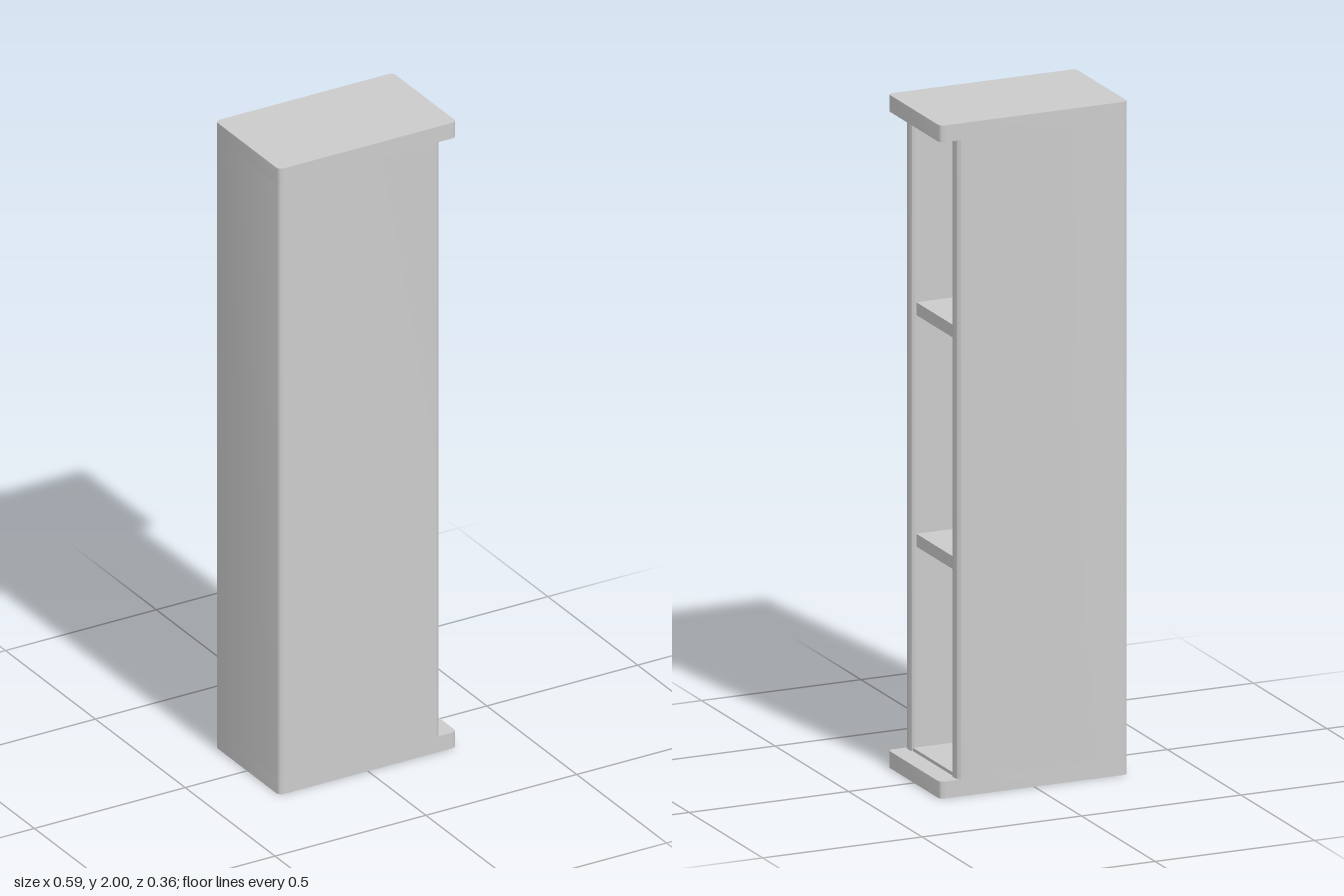
import * as THREE from 'three';
import { toCreasedNormals } from 'three/addons/utils/BufferGeometryUtils.js';

const material = new THREE.MeshStandardMaterial({ color: 0xcccccc });
const LEFT = 0.295, BACK = -0.295, HALF_Z = 0.178;
const OPEN_X = 0.24, WALL = 0.043, PLATE = 0.05, HEIGHT = 2;

// Closed outline with every corner [x, z, radius] rounded
function roundedOutline(corners) {
  const shape = new THREE.Shape();
  const n = corners.length;
  corners.forEach(([x, y, r], i) => {
    const p = new THREE.Vector2(x, y);
    const toward = ([cx, cy]) => new THREE.Vector2(cx, cy).sub(p).setLength(r).add(p);
    const a = toward(corners[(i + n - 1) % n]);
    const b = toward(corners[(i + 1) % n]);
    if (i === 0) shape.moveTo(a.x, a.y);
    else shape.lineTo(a.x, a.y);
    // cubic approximation of a quarter circle
    const c1 = a.clone().lerp(p, 0.552), c2 = b.clone().lerp(p, 0.552);
    shape.bezierCurveTo(c1.x, c1.y, c2.x, c2.y, b.x, b.y);
  });
  shape.closePath();
  return shape;
}

// Plan outline raised from y0 to y1
function slab(name, corners, y0, y1) {
  const geometry = new THREE.ExtrudeGeometry(roundedOutline(corners), {
    depth: y1 - y0, bevelEnabled: false, curveSegments: 8,
  });
  geometry.rotateX(-Math.PI / 2);
  geometry.translate(0, y0, 0);
  const mesh = new THREE.Mesh(toCreasedNormals(geometry, Math.PI / 5), material);
  mesh.name = name;
  return mesh;
}

function board(name, x0, x1, y0, y1, halfZ) {
  const mesh = new THREE.Mesh(new THREE.BoxGeometry(x1 - x0, y1 - y0, halfZ * 2), material);
  mesh.position.set((x0 + x1) / 2, (y0 + y1) / 2, 0);
  mesh.name = name;
  return mesh;
}

export function createModel() {
  const group = new THREE.Group();
  group.name = 'openSidedCabinet';

  // Base and top plates, overhanging the open side
  const plate = [
    [BACK, -HALF_Z, 0.016], [LEFT, -HALF_Z, 0.016],
    [LEFT, HALF_Z, 0.016], [BACK, HALF_Z, 0.016],
  ];
  group.add(slab('basePlate', plate, 0, PLATE));
  group.add(slab('topPlate', plate, HEIGHT - PLATE, HEIGHT));

  // U-shaped walls, open towards +x, with rounded free edges
  const inner = HALF_Z - WALL;
  group.add(slab('walls', [
    [BACK, -HALF_Z, 0.016], [OPEN_X, -HALF_Z, 0.016],
    [OPEN_X, -inner, 0.012], [BACK + WALL, -inner, 0.003],
    [BACK + WALL, inner, 0.003], [OPEN_X, inner, 0.012],
    [OPEN_X, HALF_Z, 0.016], [BACK, HALF_Z, 0.016],
  ], PLATE, HEIGHT - PLATE));

  // Thin floor and ceiling liners
  const innerBack = BACK + WALL - 0.005;
  group.add(board('floorLiner', innerBack, OPEN_X - 0.005, PLATE, 0.06, inner + 0.002));
  group.add(board('ceilingLiner', innerBack, OPEN_X - 0.005, HEIGHT - 0.058, HEIGHT - PLATE, inner + 0.002));

  // Shelves, set slightly back from the opening
  for (const y of [0.657, 1.345]) {
    group.add(board('shelf', innerBack, 0.225, y, y + 0.038, inner + 0.002));
  }
  return group;
}
